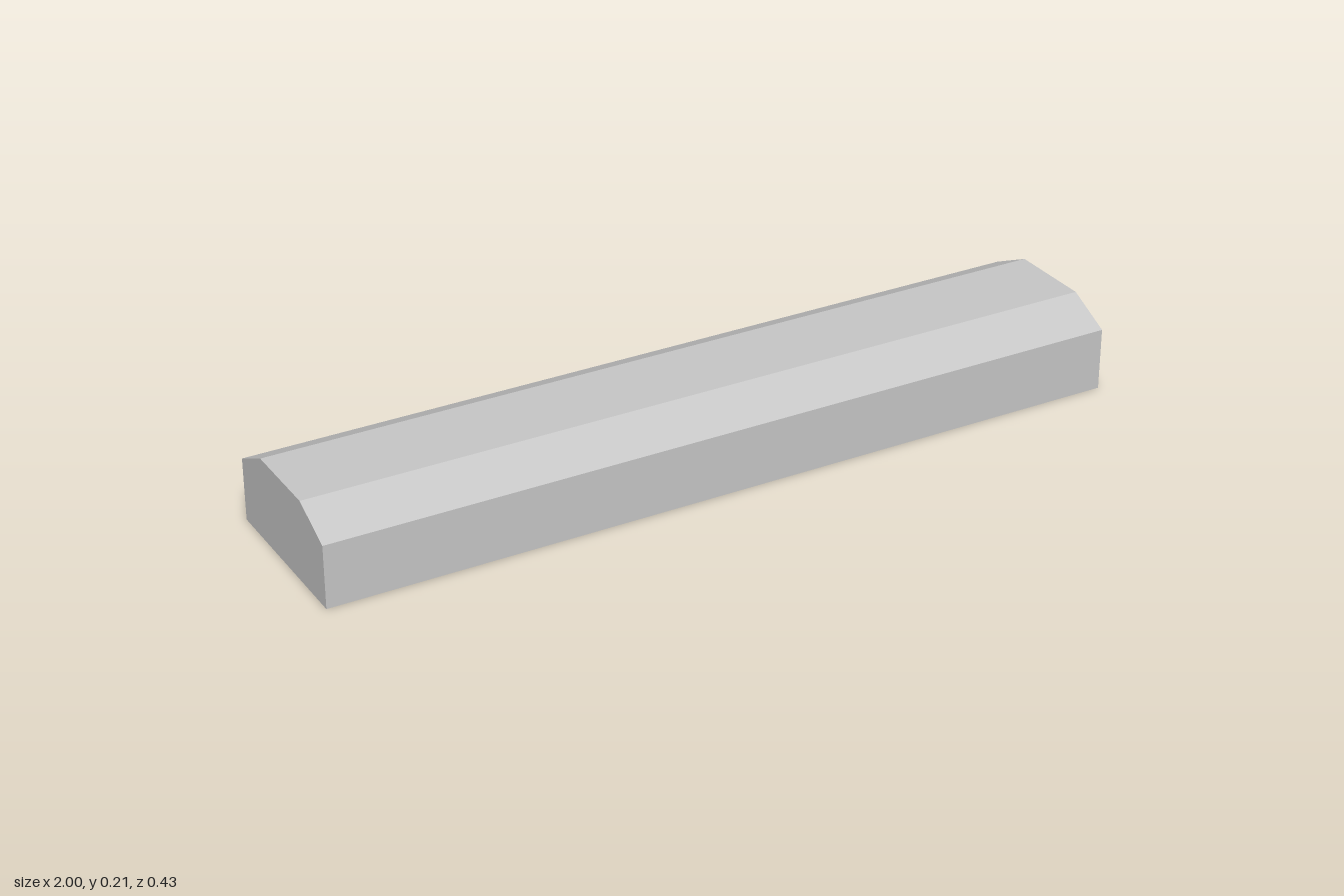
import * as THREE from 'three';

const LENGTH = 2, END = 0.06, WALL = 0.025;
const HALF = 0.215, SHOULDER = 0.154, TOP = 0.207, FLAT = 0.105, CEILING = 0.14;

// Extrudes a (z, y) cross-section along x, centred on the given x
function extrudeAlongX(points, length, x) {
  const shape = new THREE.Shape(points.map(([z, y]) => new THREE.Vector2(-z, y)));
  const geo = new THREE.ExtrudeGeometry(shape, { depth: length, bevelEnabled: false });
  geo.translate(0, 0, -length / 2);
  geo.rotateY(Math.PI / 2);
  geo.translate(x, 0, 0);
  return geo;
}

export function createModel() {
  const group = new THREE.Group();
  const grey = new THREE.MeshStandardMaterial({ color: 0xc6c6c6 });
  grey.name = 'light grey';

  const add = (name, geo) => {
    const mesh = new THREE.Mesh(geo, grey);
    mesh.name = name;
    group.add(mesh);
    return mesh;
  };

  // Housing outline with sloped shoulders
  const roof = [
    [HALF, 0], [HALF, SHOULDER], [FLAT, TOP],
    [-FLAT, TOP], [-HALF, SHOULDER], [-HALF, 0],
  ];

  // Open-bottomed channel between the two solid ends
  const inner = HALF - WALL;
  const channel = [...roof, [-inner, 0], [-inner, CEILING], [inner, CEILING], [inner, 0]];
  add('housing', extrudeAlongX(channel, LENGTH - 2 * END, 0));
  for (const side of [-1, 1]) {
    add(side > 0 ? 'leftEnd' : 'rightEnd', extrudeAlongX(roof, END, side * (LENGTH - END) / 2));
  }

  // Three lamp tubes along the inside
  const tubeLength = LENGTH - 2 * END - 0.08;
  ['backTube', 'middleTube', 'frontTube'].forEach((name, i) => {
    const geo = new THREE.CylinderGeometry(0.045, 0.045, tubeLength, 32);
    geo.rotateZ(Math.PI / 2);
    add(name, geo).position.set(0, 0.053, (i - 1) * 0.102);
  });

  return group;
}
